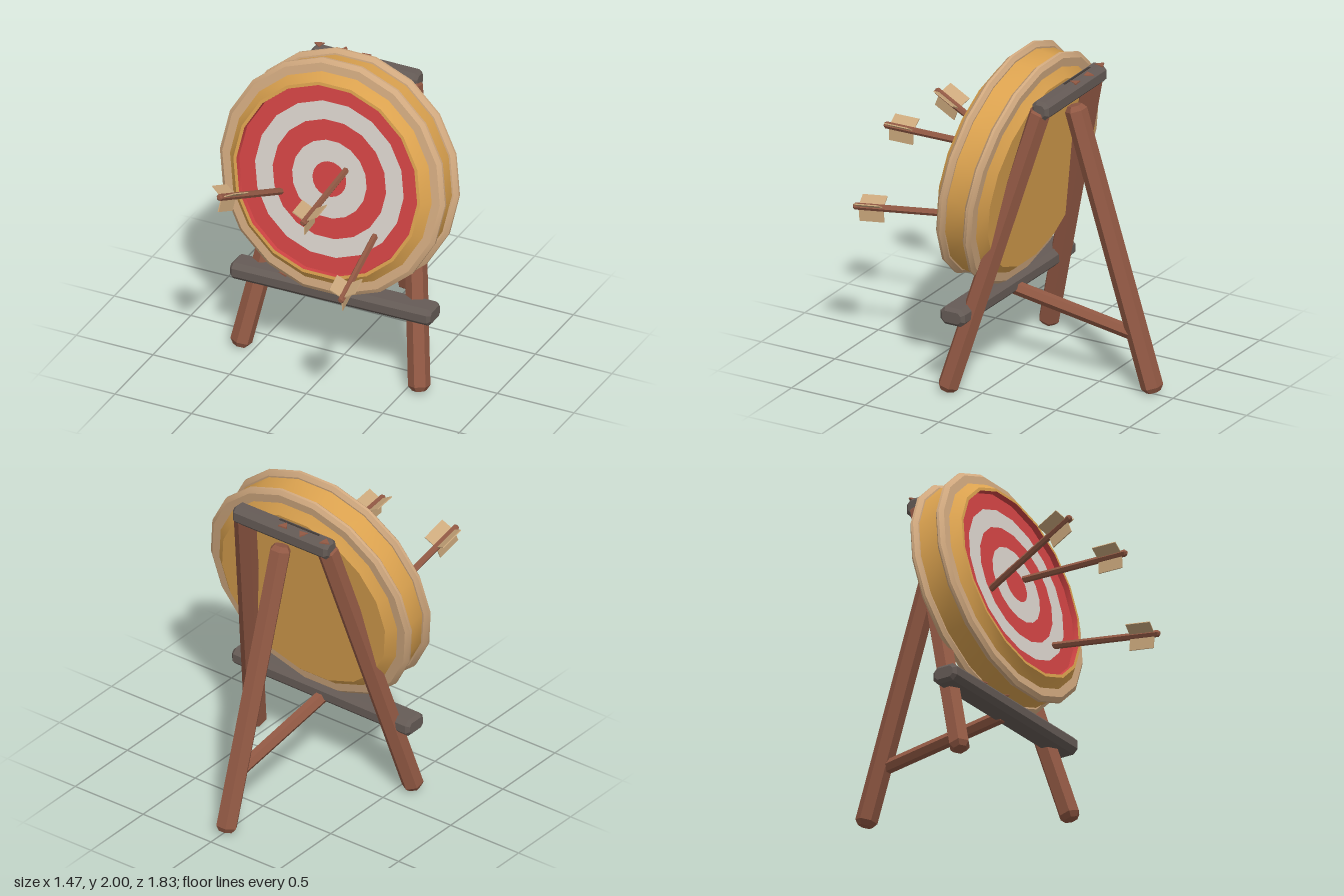
import * as THREE from 'three';
import { toCreasedNormals } from 'three/addons/utils/BufferGeometryUtils.js';

const flat = (color, name) => {
  const m = new THREE.MeshStandardMaterial({ color, flatShading: true });
  m.name = name;
  return m;
};
const smooth = (color, name) => {
  const m = new THREE.MeshStandardMaterial({ color });
  m.name = name;
  return m;
};
const MAT = {
  straw: smooth(0xdba24f, 'straw'),
  rope: smooth(0xd1a97f, 'paleBand'),
  red: smooth(0xd14444, 'redPaint'),
  white: smooth(0xd9d2cb, 'whitePaint'),
  wood: flat(0x925944, 'redWood'),
  bar: flat(0x655b56, 'greyWood'),
  groove: flat(0x3f3835, 'darkGroove'),
  feather: flat(0xcba87c, 'feather'),
};
MAT.red.side = THREE.DoubleSide;

const SIDES = 18;
const V = (x, y, z) => new THREE.Vector3(x, y, z);

function add(parent, name, geometry, material) {
  const mesh = new THREE.Mesh(geometry, material);
  mesh.name = name;
  parent.add(mesh);
  return mesh;
}

// Profile of [radius, depth] points turned around the z axis, with a corner on +x
function turned(profile, sides) {
  const pts = profile.map(([r, d]) => new THREE.Vector2(r, d));
  return new THREE.LatheGeometry(pts, sides, Math.PI / 2).rotateX(Math.PI / 2);
}

// Six-sided pole with bevelled ends running from a to b
function pole(parent, name, a, b, r, bevel = 0.03) {
  const len = a.distanceTo(b);
  const geo = turned([[0, 0], [r * 0.65, 0], [r, bevel], [r, len - bevel], [r * 0.65, len], [0, len]], 6);
  const mesh = add(parent, name, geo, MAT.wood);
  mesh.position.copy(a);
  mesh.lookAt(b);
  return mesh;
}

// Horizontal beam along x with chamfered edges and ends
function beam(parent, name, length, height, depth, pos) {
  const e = 0.02, c = 0.018;
  const w = depth / 2 - e, h = height / 2 - e;
  const shape = new THREE.Shape([
    [w, -h + c], [w, h - c], [w - c, h], [-w + c, h],
    [-w, h - c], [-w, -h + c], [-w + c, -h], [w - c, -h],
  ].map(([x, y]) => new THREE.Vector2(x, y)));
  const geo = new THREE.ExtrudeGeometry(shape, {
    depth: length - 2 * e, bevelEnabled: true, bevelSize: e, bevelThickness: e, bevelSegments: 1,
  });
  geo.translate(0, 0, -length / 2 + e).rotateY(Math.PI / 2);
  const mesh = add(parent, name, geo, MAT.bar);
  mesh.position.copy(pos);
  return mesh;
}

// Small triangular chip lying on top of a beam
function chip(parent, x, y, z, turn) {
  const mesh = add(parent, 'woodChip', new THREE.CylinderGeometry(0.034, 0.036, 0.008, 3), MAT.wood);
  mesh.position.set(x, y, z);
  mesh.rotation.y = turn;
}

function buildTarget() {
  const target = new THREE.Group();
  target.name = 'target';

  // Straw drum with a shallow recess at the front
  const drum = turned([
    [0, -0.26], [0.6, -0.26], [0.665, -0.205], [0.7, -0.183], [0.7, 0],
    [0.665, 0.022], [0.61, 0.085], [0.59, 0.085],
  ], SIDES);
  add(target, 'strawDrum', toCreasedNormals(drum, 0.42), MAT.straw);

  // Two raised bands around the rim
  for (const [name, d] of [['frontBand', 0], ['backBand', -0.183]]) {
    const band = turned([
      [0.655, d - 0.03], [0.71, d - 0.028], [0.735, d - 0.008],
      [0.735, d + 0.008], [0.71, d + 0.028], [0.655, d + 0.03],
    ], SIDES);
    add(target, name, toCreasedNormals(band, 0.42), MAT.rope);
  }

  // Painted wall of the recess and the scoring rings
  add(target, 'recessWall', toCreasedNormals(turned([[0.59, 0.085], [0.588, 0.05]], SIDES), 0.42), MAT.red);
  const radii = [0, 0.11, 0.243, 0.37, 0.485, 0.59];
  for (let i = 0; i < 5; i++) {
    const geo = i === 0
      ? new THREE.CircleGeometry(radii[1], SIDES)
      : new THREE.RingGeometry(radii[i], radii[i + 1], SIDES);
    add(target, 'scoringRing' + (i + 1), geo.translate(0, 0, 0.05), i % 2 ? MAT.white : MAT.red);
  }

  target.position.set(0, 1.29, 0.145);
  target.rotation.x = -THREE.MathUtils.degToRad(10);
  return target;
}

function buildArrow(tip, tail) {
  const arrow = new THREE.Group();
  arrow.name = 'arrow';
  const len = tip.distanceTo(tail);
  const r = 0.021;
  const shaft = turned([[0, -0.03], [r, -0.03], [r, len - 0.01], [r * 0.6, len], [0, len]], 6);
  add(arrow, 'arrowShaft', shaft, MAT.wood);

  // Three vanes around the tail
  for (let i = 0; i < 3; i++) {
    const vane = new THREE.BoxGeometry(0.085, 0.007, 0.155).translate(0.0475, 0, len - 0.11);
    add(arrow, 'vane', vane, MAT.feather).rotation.z = Math.PI / 6 + (i * Math.PI * 2) / 3;
  }
  arrow.position.copy(tip);
  arrow.lookAt(tail);
  return arrow;
}

export function createModel() {
  const model = new THREE.Group();
  model.name = 'archeryTarget';
  model.add(buildTarget());

  // Stand
  const stand = new THREE.Group();
  stand.name = 'stand';
  model.add(stand);
  for (const [name, s] of [['leftLeg', 1], ['rightLeg', -1]]) {
    pole(stand, name, V(s * 0.585, 0.013, 0.19), V(s * 0.3, 1.8, -0.285), 0.066);
  }
  pole(stand, 'backLeg', V(-0.005, 0.012, -0.865), V(-0.005, 1.72, -0.33), 0.067);
  pole(stand, 'stretcher', V(0, 0.48, 0.1), V(0, 0.355, -0.73), 0.042, 0.01);

  // Cross bars
  beam(stand, 'topBar', 0.7, 0.115, 0.115, V(0, 1.8, -0.297));
  beam(stand, 'restBar', 1.31, 0.11, 0.165, V(0, 0.505, 0.12)).rotation.z = 0.01;

  // Worn chips and a groove on the bars
  chip(stand, -0.32, 1.857, -0.32, 0.4);
  chip(stand, -0.16, 1.857, -0.33, 1.2);
  chip(stand, -0.02, 1.857, -0.325, 0.1);
  chip(stand, -0.31, 0.557, 0.16, 0.7);
  chip(stand, -0.08, 0.559, 0.16, 0.2);
  add(stand, 'barGroove', new THREE.BoxGeometry(0.29, 0.006, 0.014), MAT.groove).position.set(-0.105, 1.857, -0.285);

  // Arrows stuck in the face
  model.add(
    buildArrow(V(-0.305, 1.15, 0.22), V(-0.4, 1.415, 0.845)),
    buildArrow(V(0.1, 1.375, 0.185), V(0.158, 1.395, 0.865)),
    buildArrow(V(0.32, 1.017, 0.245), V(0.43, 0.967, 0.915)),
  );
  return model;
}
